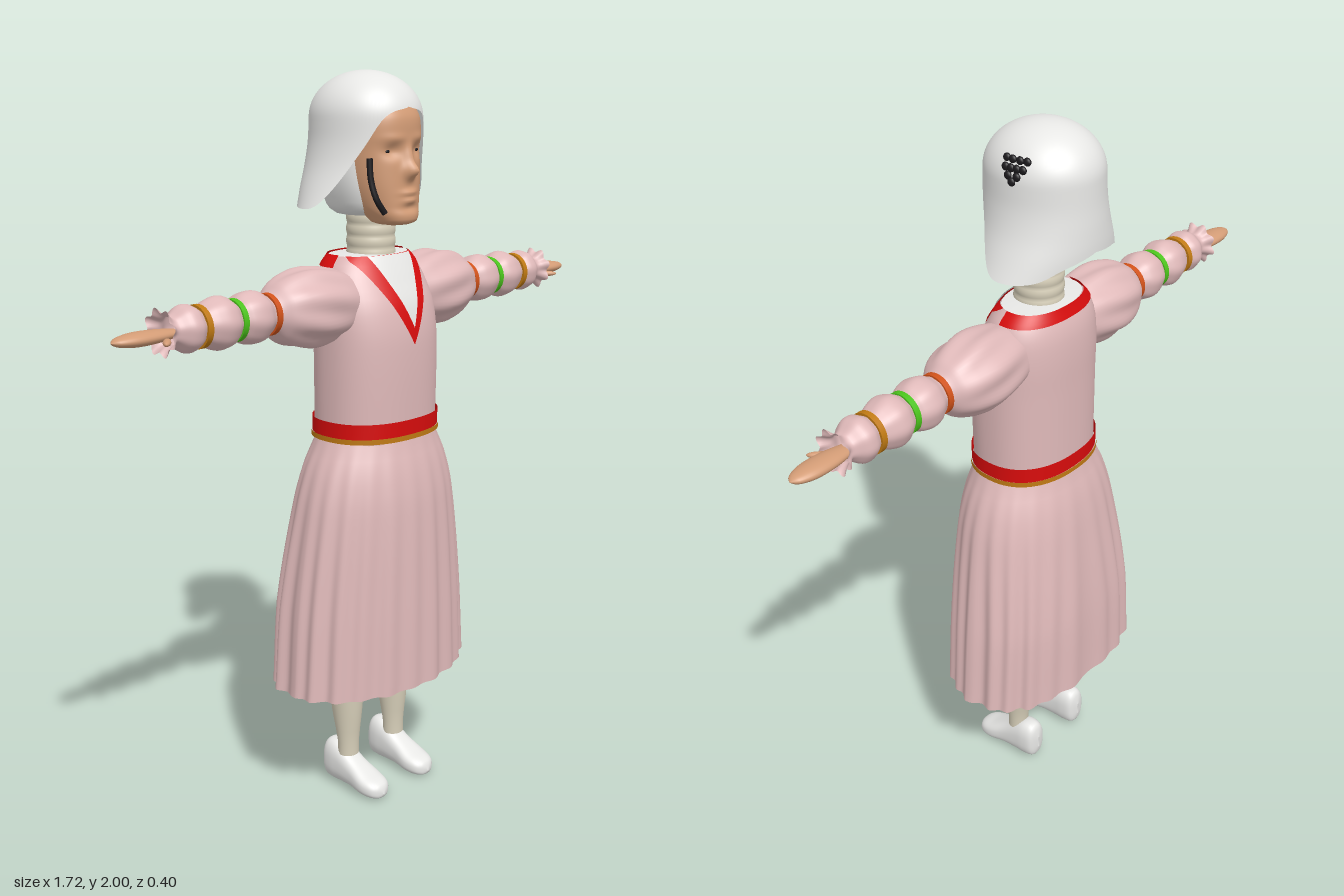
import * as THREE from 'three';

const { sin, cos, abs, sign, PI, exp, pow, sqrt, min, max } = Math;
const TAU = PI * 2;
const mat = (name, color, side = THREE.FrontSide) => {
  const m = new THREE.MeshStandardMaterial({ color, side });
  m.name = name;
  return m;
};

// Smooth interpolation through rows [t, a, b, ...]
function key(rows, t) {
  const n = rows.length;
  t = min(max(t, rows[0][0]), rows[n - 1][0]);
  let i = 0;
  while (i < n - 2 && t > rows[i + 1][0]) i++;
  const p = rows[i], q = rows[i + 1], o = rows[max(i - 1, 0)], r = rows[min(i + 2, n - 1)];
  const h = q[0] - p[0], s = (t - p[0]) / h, s2 = s * s, s3 = s2 * s;
  return p.slice(1).map((_, k) => {
    const j = k + 1;
    const m0 = (q[j] - o[j]) / (q[0] - o[0]) * h, m1 = (r[j] - p[j]) / (r[0] - p[0]) * h;
    return (2 * s3 - 3 * s2 + 1) * p[j] + (s3 - 2 * s2 + s) * m0 + (3 * s2 - 2 * s3) * q[j] + (s3 - s2) * m1;
  });
}

// Grid surface from fn(u, v) -> [x, y, z]; closed wraps around in u
function surface(fn, nu, nv, closed = true) {
  const pos = [], idx = [], cols = closed ? nu : nu + 1;
  for (let j = 0; j <= nv; j++)
    for (let i = 0; i < cols; i++) pos.push(...fn(i / nu, j / nv));
  for (let j = 0; j < nv; j++)
    for (let i = 0; i < nu; i++) {
      const a = j * cols + i, b = j * cols + (i + 1) % cols, c = a + cols, d = b + cols;
      idx.push(a, c, b, b, c, d);
    }
  const g = new THREE.BufferGeometry();
  g.setAttribute('position', new THREE.Float32BufferAttribute(pos, 3));
  g.setIndex(idx);
  g.computeVertexNormals();
  return g;
}

const sup = (c, n) => sign(c) * pow(abs(c), 2 / n);
// Horizontal ring point: half width a, front depth zf, back depth zb, exponent n
function ring(th, y, [a, zf, zb], n = 2, off = 0) {
  const c = (zf + zb) / 2, d = (zf - zb) / 2;
  return [(a + off) * sup(cos(th), n), y, c + (d + off) * sup(sin(th), n)];
}

const torso = [[1.03, .178, .148, -.125], [1.3, .18, .15, -.125], [1.4, .178, .133, -.125],
  [1.47, .163, .1, -.118], [1.515, .138, .075, -.102], [1.53, .12, .065, -.095]];
const face = [[1.607, .005, .08, .06], [1.614, .045, .125, .02], [1.63, .062, .138, 0], [1.66, .08, .134, -.05],
  [1.72, .097, .13, -.08], [1.8, .105, .126, -.1], [1.88, .104, .126, -.1], [1.93, .085, .1, -.1]];
const coif = [[1.622, .02, .02, -.05], [1.635, .075, .055, -.1], [1.67, .1, .075, -.125],
  [1.75, .117, .075, -.14], [1.9, .115, .07, -.145]];
const skirt = [[.345, .312, .2, -.198], [.6, .29, .197, -.192], [.87, .25, .187, -.165],
  [.97, .222, .172, -.148], [1.03, .193, .155, -.13], [1.06, .18, .149, -.125]];
const capLow = [[1.65, .205, .125, -.178], [1.7, .183, .128, -.185], [1.76, .16, .13, -.184],
  [1.82, .147, .132, -.18], [1.88, .143, .132, -.178]];
// Lower cap edge by angle from the side: back -90, front 90
const capEdge = [[-90, 1.705], [-60, 1.685], [-40, 1.66], [-10, 1.655], [5, 1.665], [17, 1.7], [38, 1.8], [60, 1.885], [90, 1.91]];
const sleeve = [[.11, .08], [.18, .096], [.25, .102], [.31, .092], [.35, .075], [.385, .048], [.42, .063], [.445, .067],
  [.475, .06], [.497, .047], [.525, .062], [.55, .066], [.58, .058], [.61, .045], [.635, .057], [.66, .056], [.695, .036], [.722, .054]];
const hand = [[.68, .02], [.74, .03], [.8, .031], [.84, .021], [.855, .01], [.86, .001]];
const shoe = [[-.086, .004, .09, .05], [-.078, .028, .125, .02], [-.05, .038, .136, .012], [-.02, .039, .128, .012],
  [.03, .04, .095, .012], [.08, .045, .068, .006], [.115, .037, .054, .006], [.13, .02, .042, .01], [.135, .002, .026, .02]];

function capRing(y) {
  const r = key(capLow, min(y, 1.88));
  if (y <= 1.88) return r;
  const f = sqrt(max(0, 1 - pow((y - 1.88) / .12, 2)));
  return [r[0] * f, -.023 + .155 * f, -.023 - .155 * f];
}

export function createModel() {
  const M = {
    pink: mat('dress pink', 0xdfb9b9, THREE.DoubleSide), white: mat('linen white', 0xeeeeec, THREE.DoubleSide),
    red: mat('trim red', 0xd80c0c, THREE.DoubleSide), orange: mat('band orange', 0xd0521a),
    ochre: mat('band ochre', 0xc07a14), green: mat('band green', 0x4cc41c),
    skin: mat('skin', 0xd39c76), beige: mat('stocking beige', 0xd8d0ba), black: mat('black', 0x1c1a1d),
  };
  const root = new THREE.Group();
  const add = (name, geo, m, parent = root) => {
    const mesh = new THREE.Mesh(geo, m);
    mesh.name = name;
    parent.add(mesh);
    return mesh;
  };
  const loft = (rows, y0, y1, n, off, nu = 64, nv = 24) =>
    surface((u, v) => { const y = y0 + (y1 - y0) * v; return ring(u * TAU, y, key(rows, y), n, off); }, nu, nv);

  // Bodice, belt and skirt
  add('bodice', loft(torso, 1.03, 1.53, 2.3, 0), M.pink);
  add('shoulderLinen', surface((u, v) => {
    const p = ring(u * TAU, 1.53 + .006 * v, key(torso, 1.53), 2.3);
    return [p[0] * (1 - v), p[1], p[2] * (1 - v)];
  }, 64, 3), M.white);
  add('belt', loft(torso, 1.058, 1.1, 2.3, .006, 64, 2), M.red);
  add('beltCord', loft(torso, 1.046, 1.06, 2.3, .009, 64, 2), M.ochre);
  add('skirt', surface((u, v) => {
    const y = 1.06 - .715 * (1 - v), th = u * TAU, s = sin(th);
    const p = ring(th, y, key(skirt, y), s < 0 ? 2 + .6 * min(1, (1 - v) * 1.5) : 2);
    const k = 1 + .022 * (1 - v) * (cos(22 * th) + .5 * sin(13 * th + 1)) + .008 * cos(22 * th) * sin(PI * v) - .01 * (1 - v);
    return [p[0] * k, y, p[2] * k];
  }, 220, 24), M.pink);

  // Neckline: white bib over a red V, and a red edge round the back
  const bib = (yTip, wTop, off) => surface((u, v) => {
    const y = yTip + (1.531 - yTip) * v, [a, zf, zb] = key(torso, y);
    const x = min(wTop * v, a * .97) * (1 - 2 * u), c = (zf + zb) / 2;
    return [x, y, c + (zf - c) * pow(1 - pow(abs(x) / a, 2.3), 1 / 2.3) + off];
  }, 24, 20, false);
  add('neckTrim', bib(1.3, .128, .004), M.red);
  add('neckBib', bib(1.345, .08, .008), M.white);
  add('backTrim', surface((u, v) => {
    const y = 1.503 + .03 * v;
    return ring(PI * (.97 + 1.06 * u), y, key(torso, y), 2.3, .004);
  }, 40, 3, false), M.red);

  // Neck with wrapped rings
  const neck = [];
  for (let i = 0; i <= 24; i++) neck.push(new THREE.Vector2(.063 + .003 * abs(sin(i / 24 * PI * 4)), 1.515 + .125 * i / 24));
  add('neck', new THREE.LatheGeometry(neck, 40), M.beige).position.z = -.005;

  // Face with nose, eye sockets and lips pushed out of the loft
  const bump = (x, y, cx, cy, sx, sy) => exp(-pow((x - cx) / sx, 2) - pow((y - cy) / sy, 2));
  const facePoint = (th, y) => {
    const p = ring(th, y, key(face, y), 2.3), x = p[0];
    if (sin(th) > 0) p[2] += .032 * bump(x, y, 0, 1.75, .018, .02) + .014 * bump(x, y, 0, 1.785, .013, .03)
      - .012 * bump(abs(x), y, .045, 1.8, .024, .018) + .004 * bump(abs(x), y, .045, 1.832, .035, .012)
      + .009 * bump(x, y, 0, 1.695, .026, .008) + .008 * bump(x, y, 0, 1.675, .022, .008)
      - .005 * bump(x, y, 0, 1.655, .03, .009);
    return p;
  };
  add('face', surface((u, v) => facePoint(u * TAU, 1.607 + .323 * v), 112, 64), M.skin);
  add('coif', loft(coif, 1.622, 1.9, 2.6, 0), M.white);
  for (const s of [1, -1]) {
    const e = add('eye', new THREE.SphereGeometry(.006, 12, 8), M.black);
    const th = PI / 2 - s * .49;
    e.position.set(...facePoint(th, 1.8));
    e.scale.set(1.2, .7, .5);
  }

  // Winged cap, with a berry cluster on its left and a dark lock inside its right edge
  add('cap', surface((u, v) => {
    const th = u * TAU, lat = Math.asin(max(-1, min(1, sin(th)))) * 180 / PI;
    const yb = key(capEdge, lat)[0], y = 2 - (2 - yb) * pow(1 - v, 2);
    return ring(th, y, capRing(y), 2);
  }, 96, 40), M.white);
  const berries = new THREE.Group();
  berries.name = 'berryCluster';
  root.add(berries);
  [[1.94, [-.028, -.01, .01, .028]], [1.922, [-.024, -.008, .008, .024]], [1.905, [-.012, .012]], [1.892, [0]]].forEach(([y, zs]) =>
    zs.forEach(dz => {
      const [a, zf, zb] = capRing(y), z = -.04 + dz, q = (z - (zf + zb) / 2) / ((zf - zb) / 2);
      const b = add('berry', new THREE.SphereGeometry(.011, 12, 8), M.black, berries);
      b.position.set(a * sqrt(1 - q * q), y, z);
      b.scale.x = .7;
    }));
  const lock = new THREE.CatmullRomCurve3([[-.101, 1.785, .085], [-.099, 1.73, .088], [-.09, 1.68, .1], [-.07, 1.645, .11]]
    .map(p => new THREE.Vector3(...p)));
  add('darkLock', new THREE.TubeGeometry(lock, 16, .008, 8), M.black);

  for (const s of [1, -1]) {
    const side = s > 0 ? 'left' : 'right';
    // Puffed sleeve, bands and hand
    const arm = new THREE.Group();
    arm.name = side + 'Arm';
    arm.position.set(0, 1.412, -.002);
    root.add(arm);
    const along = (rows, nu, nv, shape) => surface((u, v) => {
      const x = rows[0][0] + (rows[rows.length - 1][0] - rows[0][0]) * v, th = -s * TAU * u;
      const [ky, kz] = shape(x, th), r = key(rows, x)[0];
      return [s * x, r * ky * cos(th), r * kz * sin(th)];
    }, nu, nv);
    add('sleeve', along(sleeve, 64, 110, (x, th) => {
      const fold = x < .38 ? .05 * sin(PI * (x - .11) / .27) : x > .69 ? .12 * (x - .69) / .03 : .015;
      const k = 1 + fold * cos(8 * th + 12 * x);
      return [k, k];
    }), M.pink, arm);
    [[.385, M.orange], [.497, M.green], [.61, M.ochre]].forEach(([x, m]) => {
      const band = add('armBand', new THREE.CylinderGeometry(.054, .054, .016, 40), m, arm);
      band.rotation.z = PI / 2;
      band.position.x = s * x;
    });
    add('hand', along(hand, 28, 24, () => [.55, 1.02]), M.skin, arm).position.set(0, -.006, -.004);
    const thumb = add('thumb', new THREE.SphereGeometry(1, 16, 10), M.skin, arm);
    thumb.scale.set(.032, .008, .01);
    thumb.position.set(s * .732, -.016, .037);
    thumb.rotation.y = -s * .85;

    // Stocking leg and slip-on shoe
    const leg = new THREE.Group();
    leg.name = side + 'Leg';
    leg.position.x = s * .095;
    root.add(leg);
    const calf = [[.1, .031, .024, -.034], [.14, .032, .024, -.034], [.22, .041, .033, -.05], [.34, .053, .042, -.066], [.6, .062, .058, -.07], [1, .065, .06, -.07]];
    add('stocking', loft(calf, .1, 1, 2, 0, 32, 24), M.beige, leg);
    add('shoe', surface((u, v) => {
      const z = -.086 + .221 * (.5 - .5 * cos(PI * v)), [w, t, b] = key(shoe, z), th = -u * TAU;
      return [w * sup(cos(th), 2.5), (t + b) / 2 + (t - b) / 2 * sup(sin(th), 2.5), z];
    }, 40, 30), M.white, leg).position.y = -.005;
  }
  return root;
}
